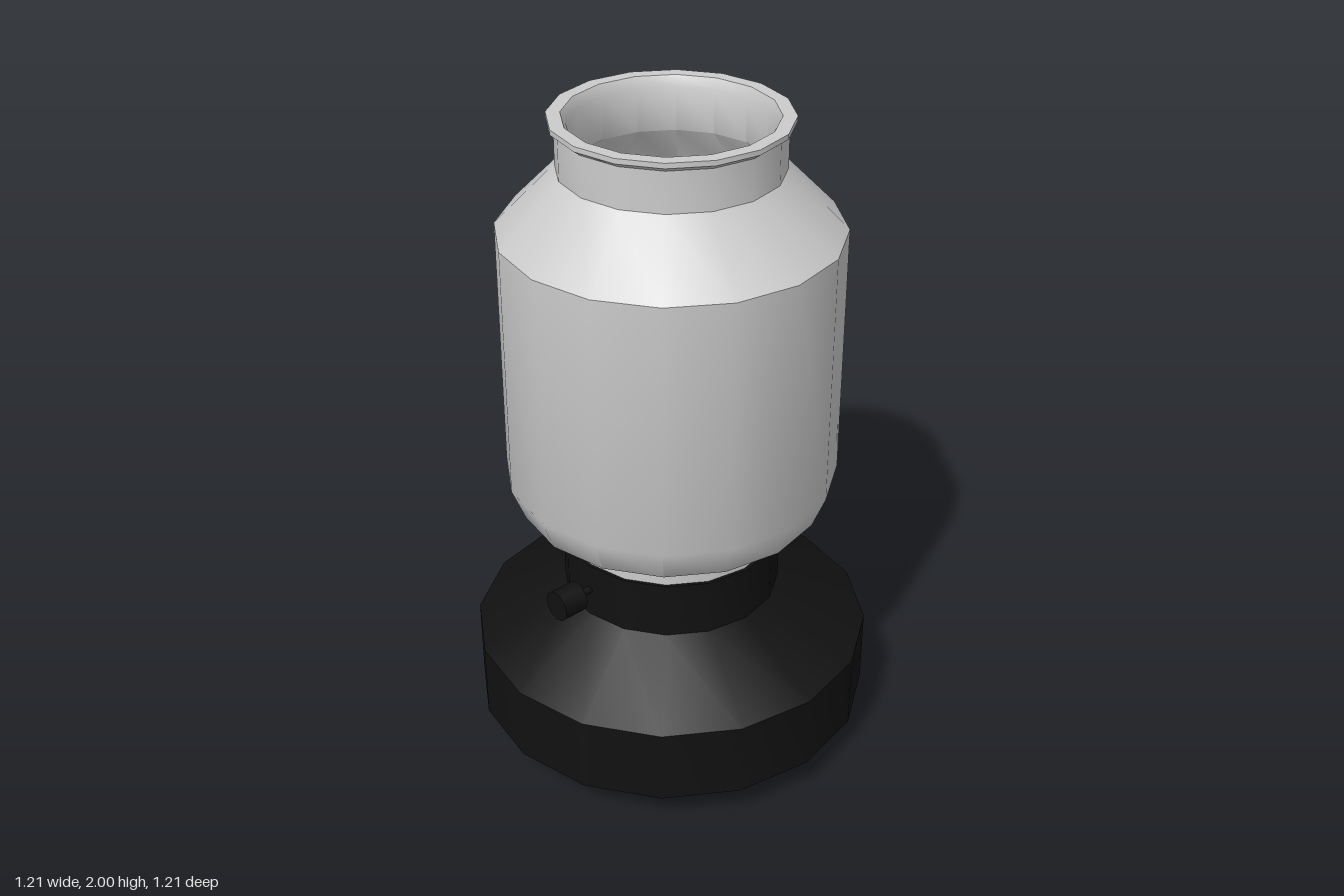
import * as THREE from 'three';
import { toCreasedNormals } from 'three/addons/utils/BufferGeometryUtils.js';

const SIDES = 16;

export function createModel() {
  const lantern = new THREE.Group();
  lantern.name = 'oilLamp';
  const grey = new THREE.MeshStandardMaterial({ color: 0xcccccc });
  const black = new THREE.MeshStandardMaterial({ color: 0x111111 });

  function add(name, geometry, material, crease = 0.75) {
    const mesh = new THREE.Mesh(toCreasedNormals(geometry, crease), material);
    mesh.name = name;
    lantern.add(mesh);
    return mesh;
  }
  // profile rows are [radius, height], outside running upwards
  const turned = (profile) =>
    new THREE.LatheGeometry(profile.map(([r, y]) => new THREE.Vector2(r, y)), SIDES);

  // oil reservoir with burner collar
  add('base', turned([
    [0, 0], [0.47, 0], [0.605, 0.11], [0.605, 0.345],
    [0.33, 0.5], [0.33, 0.675], [0, 0.675],
  ]), black);

  // hollow glass: up the outside, over the rim, down the inside
  add('glassChimney', turned([
    [0.32, 0.66], [0.32, 0.735], [0.455, 0.8], [0.495, 0.9], [0.495, 1.67],
    [0.32, 1.85], [0.32, 1.97], [0.34, 1.985], [0.34, 2],
    [0.3, 2], [0.285, 1.97], [0.285, 1.84], [0.46, 1.655], [0.46, 0.91],
    [0.43, 0.825], [0.285, 0.75], [0.285, 0.66], [0.32, 0.66],
  ]), grey);

  // wick and flame inside the glass
  const wick = add('wick', new THREE.CylinderGeometry(0.05, 0.05, 0.1, SIDES), black);
  wick.position.y = 0.72;
  add('flame', turned([
    [0, 0.74], [0.09, 0.76], [0.14, 0.82], [0.15, 0.88],
    [0.13, 0.97], [0.08, 1.09], [0.035, 1.19], [0, 1.26],
  ]), grey, 1.2);

  // wick adjuster on the front of the collar
  const rod = (name, radius, length, z) => {
    const mesh = add(name, new THREE.CylinderGeometry(radius, radius, length, 12), black);
    mesh.rotation.x = Math.PI / 2;
    mesh.position.set(0, 0.588, z);
  };
  rod('adjusterStem', 0.012, 0.1, 0.34);
  rod('adjusterKnob', 0.047, 0.08, 0.415);

  return lantern;
}
